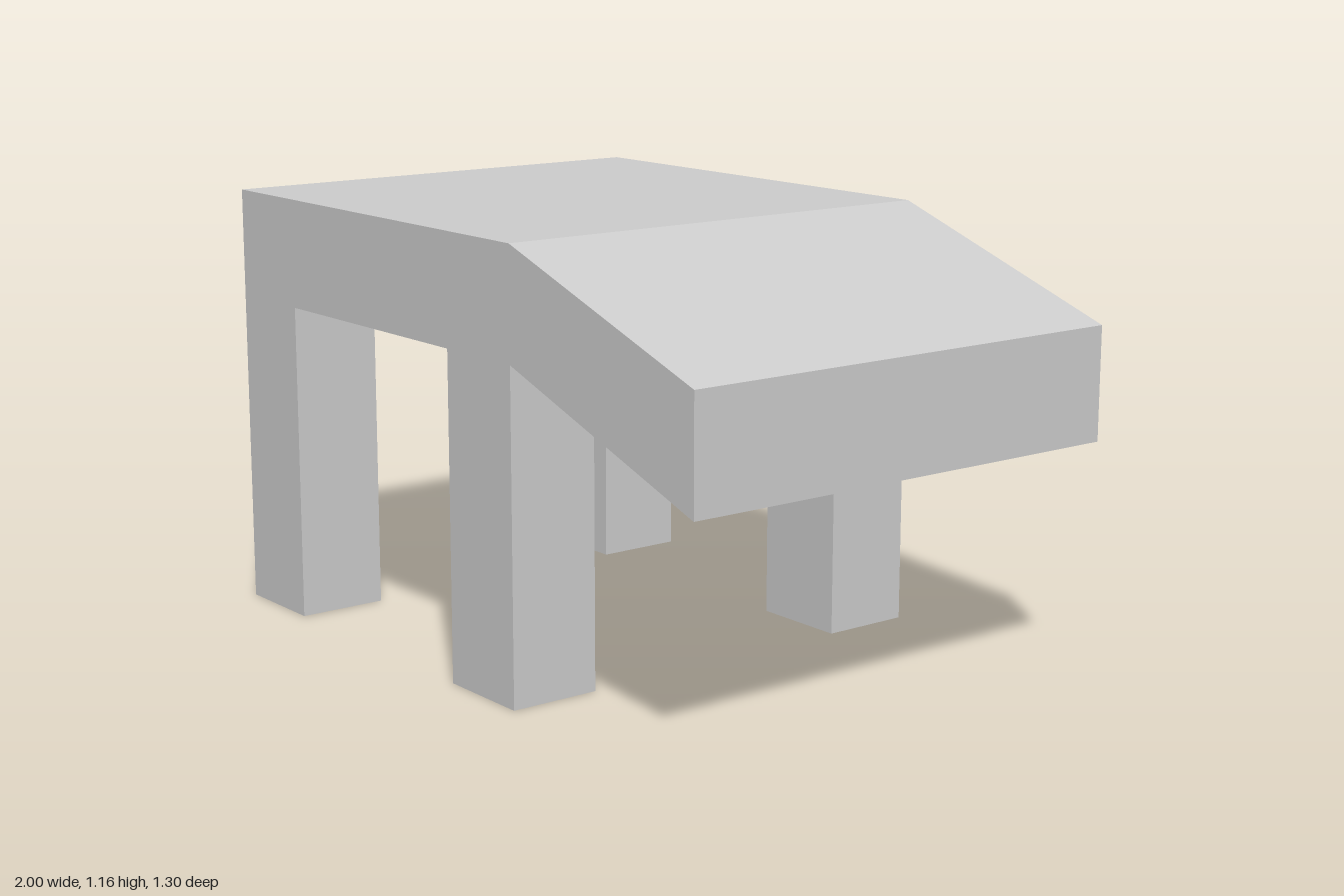
import * as THREE from 'three';

const HALF_DEPTH = 0.65, UNDERSIDE = 0.87, TOP = 1.165, BEND = 0.295;

export function createModel() {
  const group = new THREE.Group();
  const material = new THREE.MeshStandardMaterial({ color: 0xcccccc, flatShading: true });

  // Flat top that bends down into a sloping flap on the +x side
  const profile = new THREE.Shape([
    [-1, UNDERSIDE], [BEND, UNDERSIDE], [1, 0.628],
    [1, 0.925], [BEND, TOP], [-1, TOP],
  ].map(([x, y]) => new THREE.Vector2(x, y)));
  const slabGeometry = new THREE.ExtrudeGeometry(profile, { depth: 2 * HALF_DEPTH, bevelEnabled: false });
  slabGeometry.translate(0, 0, -HALF_DEPTH);
  const slab = new THREE.Mesh(slabGeometry, material);
  slab.name = 'bentTop';
  group.add(slab);

  // Four square-cut legs, flush with the front and back of the top
  const legWidth = 0.273, legDepth = 0.25;
  const legGeometry = new THREE.BoxGeometry(legWidth, UNDERSIDE, legDepth);
  for (const [side, x] of [['right', -1 + legWidth / 2], ['left', BEND - legWidth / 2]]) {
    for (const [end, sign] of [['Front', 1], ['Back', -1]]) {
      const leg = new THREE.Mesh(legGeometry, material);
      leg.name = `${side}${end}Leg`;
      leg.position.set(x, UNDERSIDE / 2, sign * (HALF_DEPTH - legDepth / 2));
      group.add(leg);
    }
  }
  return group;
}
